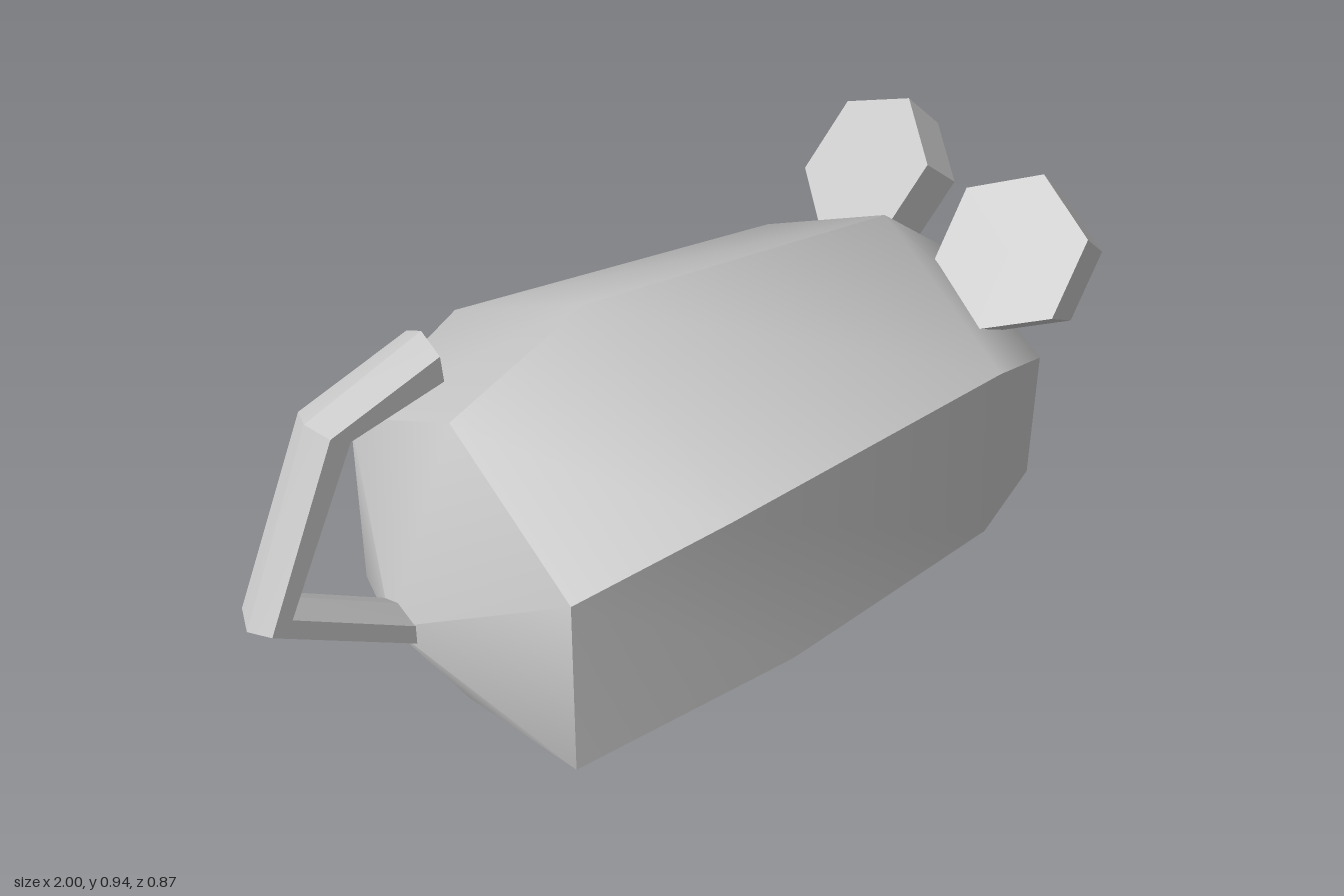
import * as THREE from 'three';
import { toCreasedNormals } from 'three/addons/utils/BufferGeometryUtils.js';

const V = (x, y, z) => new THREE.Vector3(x, y, z);
const material = () => new THREE.MeshStandardMaterial({ color: 0xcccccc });

// Skin a row of six-point rings, closing each end onto a single point.
function loft(start, rings, end, crease) {
  const points = [];
  const all = [Array(6).fill(start), ...rings, Array(6).fill(end)];
  for (let i = 0; i < all.length - 1; i++) {
    for (let j = 0; j < 6; j++) {
      const k = (j + 1) % 6;
      const a = all[i][j], b = all[i][k], c = all[i + 1][k], d = all[i + 1][j];
      if (i > 0) points.push(a, b, c);
      if (i < all.length - 2) points.push(a, c, d);
    }
  }
  const geometry = new THREE.BufferGeometry().setFromPoints(points);
  geometry.computeVertexNormals();
  return toCreasedNormals(geometry, crease);
}

// Hexagonal body section: roof ridge, two shoulders, two lower corners, keel.
function bodyRing({ xTop, xLow = xTop, ridge, shoulder, corner, keel, half }) {
  return [
    V(xTop, ridge, 0), V(xTop, shoulder, half), V(xLow, corner, half),
    V(xLow, keel, 0), V(xLow, corner, -half), V(xTop, shoulder, -half),
  ];
}

// Hexagonal tail section between an outer and an inner point.
function tailRing([ox, oy, ix, iy]) {
  const at = (t, z) => V(ox + (ix - ox) * t, oy + (iy - oy) * t, z);
  const w = 0.052;
  return [at(0, 0), at(0.25, w), at(0.75, w), at(1, 0), at(0.75, -w), at(0.25, -w)];
}

// Tapered hexagonal ear between the centres of its front and back faces.
function makeEar(side) {
  const front = V(0.815, 0.587, 0.203 * side);
  const back = V(0.72, 0.66, 0.217 * side);
  const axis = back.clone().sub(front);
  const height = axis.length();
  axis.normalize();
  const corner = V(0.075, 0.138, -0.013 * side);
  corner.addScaledVector(axis, -corner.dot(axis)).normalize();
  const across = axis.clone().cross(corner);

  const mat = material();
  mat.flatShading = true;
  const ear = new THREE.Mesh(new THREE.CylinderGeometry(0.175, 0.156, height, 6), mat);
  ear.quaternion.setFromRotationMatrix(new THREE.Matrix4().makeBasis(across, axis, corner));
  ear.position.copy(front).add(back).multiplyScalar(0.5);
  return ear;
}

export function createModel() {
  const model = new THREE.Group();
  const add = (name, mesh) => {
    mesh.name = name;
    model.add(mesh);
  };

  // Body, from the rump to the pointed nose
  const sections = [
    { xTop: -0.535, ridge: 0.705, shoulder: 0.5, corner: 0.08, keel: 0, half: 0.36 },
    { xTop: -0.22, xLow: -0.05, ridge: 0.83, shoulder: 0.58, corner: 0.137, keel: 0.047, half: 0.437 },
    { xTop: 0.57, ridge: 0.705, shoulder: 0.5, corner: 0.08, keel: 0, half: 0.36 },
    { xTop: 0.8, ridge: 0.51, shoulder: 0.38, corner: 0.067, keel: 0.012, half: 0.265 },
  ].map(bodyRing);
  add('body', new THREE.Mesh(
    loft(V(-0.7, 0.29, 0), sections, V(0.995, 0.08, 0), THREE.MathUtils.degToRad(45)), material()));

  // Tail, bending up and back over the rump
  const tailRings = [
    [-0.64, 0.225, -0.64, 0.315],
    [-1, 0.455, -0.91, 0.49],
    [-0.835, 0.85, -0.755, 0.8],
    [-0.58, 0.935, -0.57, 0.82],
  ].map(tailRing);
  add('tail', new THREE.Mesh(
    loft(V(-0.64, 0.27, 0), tailRings, V(-0.575, 0.8775, 0), 0.2), material()));

  // Ears
  add('leftEar', makeEar(1));
  add('rightEar', makeEar(-1));
  return model;
}
